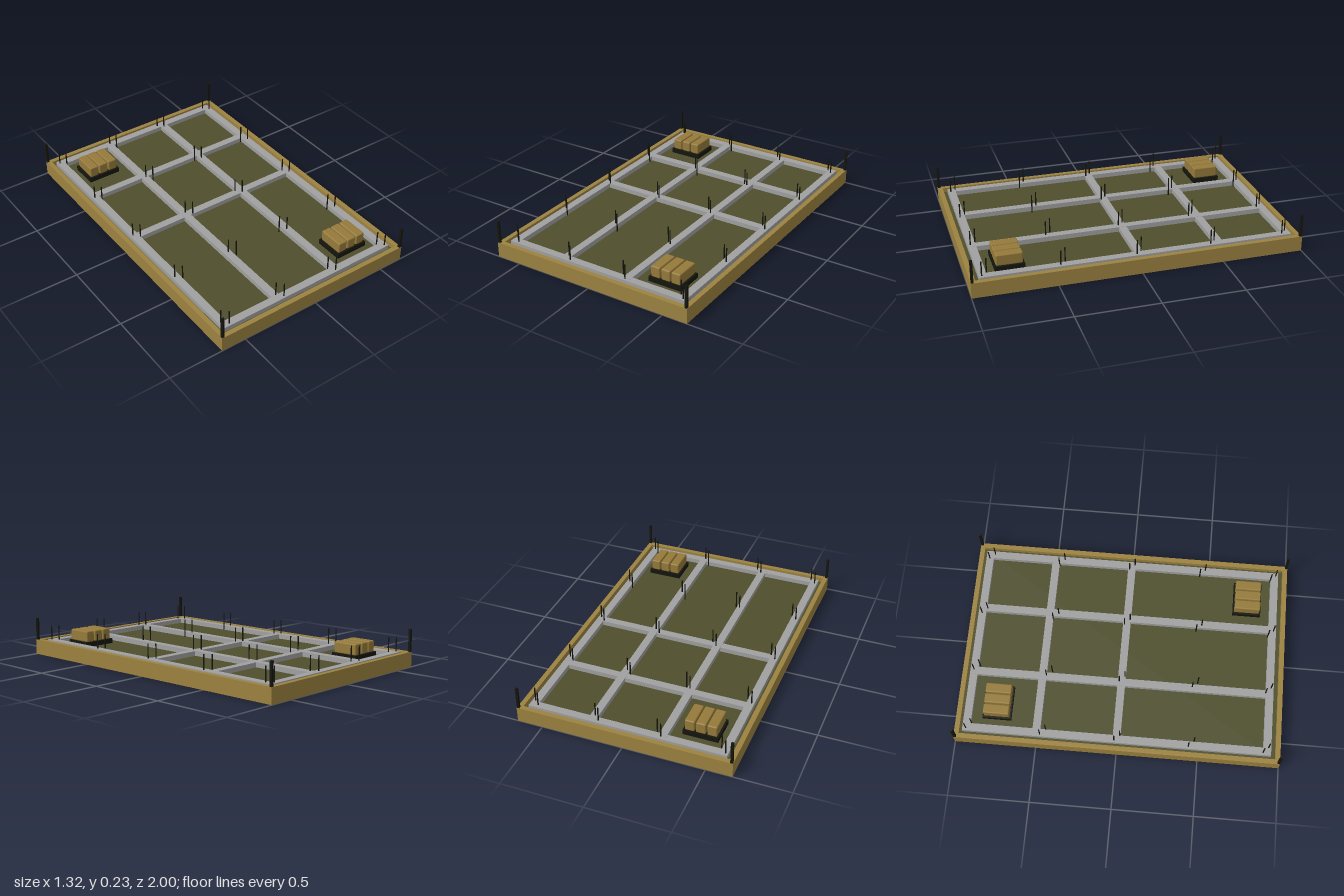
import * as THREE from 'three';
import { RoundedBoxGeometry } from 'three/addons/geometries/RoundedBoxGeometry.js';

const material = (name, color) => {
  const m = new THREE.MeshStandardMaterial({ color });
  m.name = name;
  return m;
};

export function createModel() {
  const timber = material('timber', 0x9c8240);
  const sackCloth = material('sackCloth', 0x957a3a);
  const soil = material('soil', 0x4f4f2d);
  const concrete = material('concrete', 0xa0a0a0);
  const iron = material('iron', 0x15150f);

  const site = new THREE.Group();
  site.name = 'foundationSite';

  // Box given by its limits on each axis
  const box = (parent, name, mat, [x0, x1], [y0, y1], [z0, z1]) => {
    const mesh = new THREE.Mesh(new THREE.BoxGeometry(x1 - x0, y1 - y0, z1 - z0), mat);
    mesh.position.set((x0 + x1) / 2, (y0 + y1) / 2, (z0 + z1) / 2);
    mesh.name = name;
    parent.add(mesh);
    return mesh;
  };

  // Rectangular formwork, open above and below
  const W = 0.658, L = 1, T = 0.03, H = 0.095;
  const rect = (P, w, l) => {
    const p = new P();
    p.moveTo(-w, -l);
    p.lineTo(w, -l);
    p.lineTo(w, l);
    p.lineTo(-w, l);
    p.closePath();
    return p;
  };
  const outline = rect(THREE.Shape, W, L);
  outline.holes.push(rect(THREE.Path, W - T, L - T));
  const frameGeo = new THREE.ExtrudeGeometry(outline, { depth: H, bevelEnabled: false });
  frameGeo.rotateX(-Math.PI / 2);
  const frame = new THREE.Mesh(frameGeo, timber);
  frame.name = 'formworkFrame';
  site.add(frame);

  // Ground inside the frame
  const floorY = 0.066;
  box(site, 'ground', soil, [-W + T, W - T], [0.06, floorY], [-L + T, L - T]);

  // Foundation beams
  const beams = new THREE.Group();
  beams.name = 'foundationBeams';
  site.add(beams);
  const h = 0.024;
  for (const x of [-0.584, 0.582])
    box(beams, 'sideBeam', concrete, [x - h, x + h], [floorY, 0.095], [-0.905, 0.895]);
  for (const x of [-0.217, 0.211])
    box(beams, 'lengthBeam', concrete, [x - h, x + h], [floorY, 0.096], [-0.93, 0.925]);
  for (const z of [-0.929, 0.919])
    box(beams, 'endBeam', concrete, [-0.608, 0.606], [floorY, 0.095], [z - h, z + h]);
  for (const z of [-0.498, -0.004])
    box(beams, 'crossBeam', concrete, [-0.595, 0.59], [floorY, 0.095], [z - h, z + h]);

  // Pairs of reinforcing rods on a four by five grid
  const rods = new THREE.Group();
  rods.name = 'reinforcingRods';
  site.add(rods);
  const rodGeo = new THREE.CylinderGeometry(0.004, 0.004, 0.185 - floorY, 6);
  for (const x of [-0.575, -0.193, 0.189, 0.571])
    for (const z of [-0.914, -0.458, -0.002, 0.454, 0.91])
      for (const s of [-1, 1]) {
        const rod = new THREE.Mesh(rodGeo, iron);
        rod.name = 'rod';
        rod.position.set(x + s * 0.0165, (0.185 + floorY) / 2, z + s * 0.0165);
        rods.add(rod);
      }

  // Corner stakes
  for (const x of [-0.649, 0.649])
    for (const z of [-0.991, 0.991])
      box(site, 'cornerStake', iron, [x - 0.0075, x + 0.0075], [0.02, 0.235], [z - 0.0075, z + 0.0075]);

  // Two pallets, each with three sacks
  const sackGeo = new RoundedBoxGeometry(0.06, 0.07, 0.16, 2, 0.008);
  for (const s of [-1, 1]) {
    const stack = new THREE.Group();
    stack.name = 'sackPallet';
    stack.position.set(s * 0.409, 0, s * 0.75);
    box(stack, 'pallet', iron, [-0.107, 0.107], [floorY, 0.096], [-0.088, 0.088]);
    for (const x of [-0.067, 0, 0.067]) {
      const sack = new THREE.Mesh(sackGeo, sackCloth);
      sack.name = 'sack';
      sack.position.set(x, 0.13, 0);
      stack.add(sack);
    }
    site.add(stack);
  }
  return site;
}
